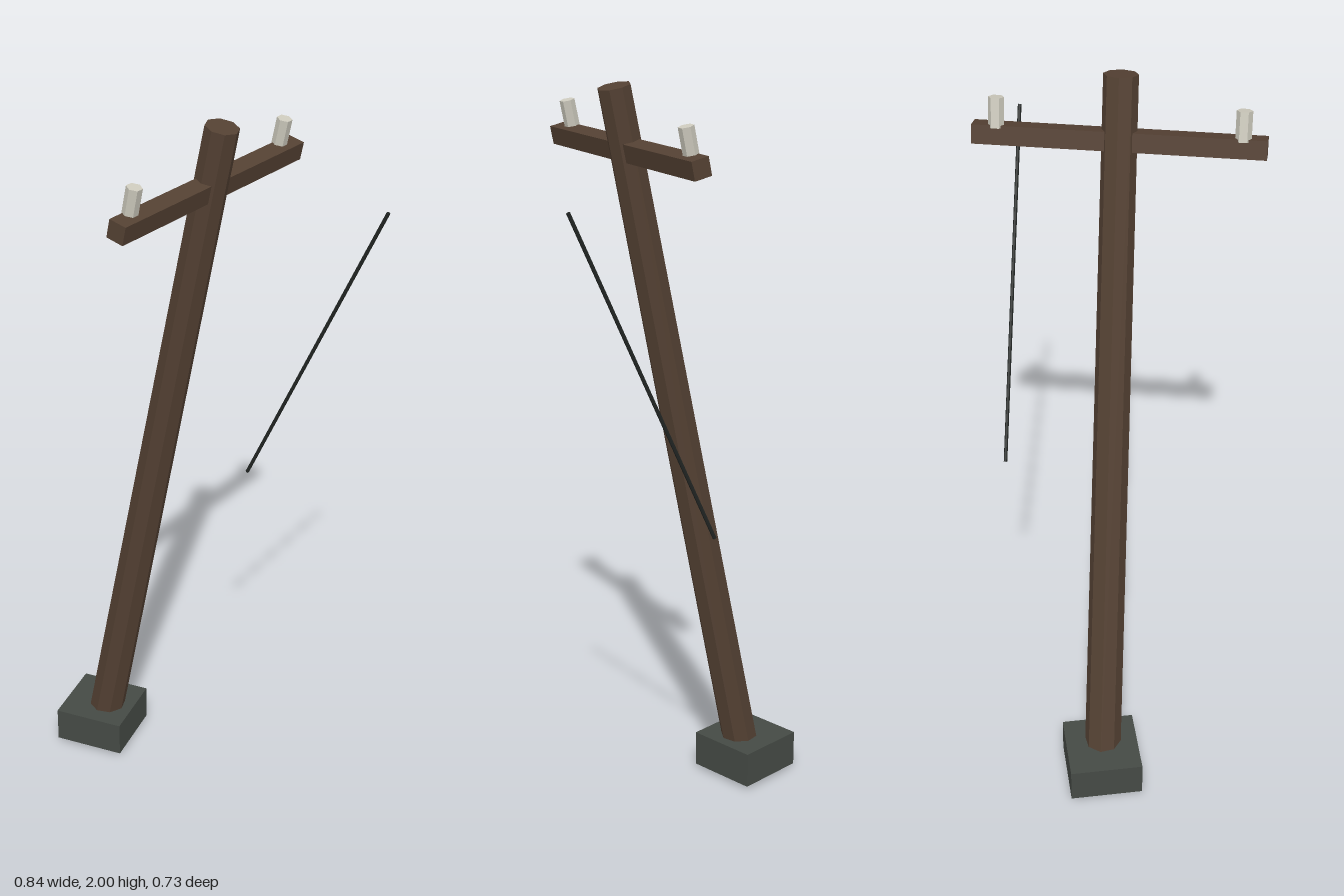
import * as THREE from 'three';

export function createModel() {
  const model = new THREE.Group();
  model.name = 'leaningUtilityPole';

  const material = (name, color) => {
    const m = new THREE.MeshStandardMaterial({ color, flatShading: true });
    m.name = name;
    return m;
  };
  const wood = material('dark wood', 0x544133);
  const concrete = material('grey concrete', 0x454a45);
  const ceramic = material('pale ceramic', 0xcdcabd);
  const cable = material('black cable', 0x222624);

  const add = (name, geometry, mat, x, y, z, tilt = 0) => {
    const mesh = new THREE.Mesh(geometry, mat);
    mesh.name = name;
    mesh.position.set(x, y, z);
    mesh.rotation.z = tilt;
    model.add(mesh);
    return mesh;
  };

  const lean = THREE.MathUtils.degToRad(12);
  const baseX = -0.297, baseY = 0.0108, poleLength = 2.024;
  // Centre point at a given distance along the leaning pole
  const along = (d) => [baseX + d * Math.sin(lean), baseY + d * Math.cos(lean)];

  // Footing, turned but level
  const footing = add('footing', new THREE.BoxGeometry(0.202, 0.101, 0.202), concrete, baseX, 0.061, 0);
  footing.rotation.y = THREE.MathUtils.degToRad(15);

  // Tapered eight-sided pole
  add('pole', new THREE.CylinderGeometry(0.0435, 0.0515, poleLength, 8), wood,
    ...along(poleLength / 2), 0, -lean);

  // Crossarm through the pole
  const [armX, armY] = along(1.861);
  add('crossarm', new THREE.BoxGeometry(0.0485, 0.0485, 0.726), wood, armX, armY, 0, -lean);

  // Insulators near both arm ends
  for (const side of [-1, 1]) {
    add(side > 0 ? 'frontInsulator' : 'backInsulator',
      new THREE.CylinderGeometry(0.02, 0.02, 0.075, 6), ceramic,
      armX, 1.888, side * 0.303, -lean);
  }

  // Loose straight cable behind the pole
  const from = new THREE.Vector2(0.006, 0.87), to = new THREE.Vector2(0.4145, 1.747);
  const run = to.clone().sub(from);
  add('looseCable', new THREE.CylinderGeometry(0.005, 0.005, run.length(), 6), cable,
    (from.x + to.x) / 2, (from.y + to.y) / 2, -0.303, -Math.atan2(run.x, run.y));

  return model;
}
